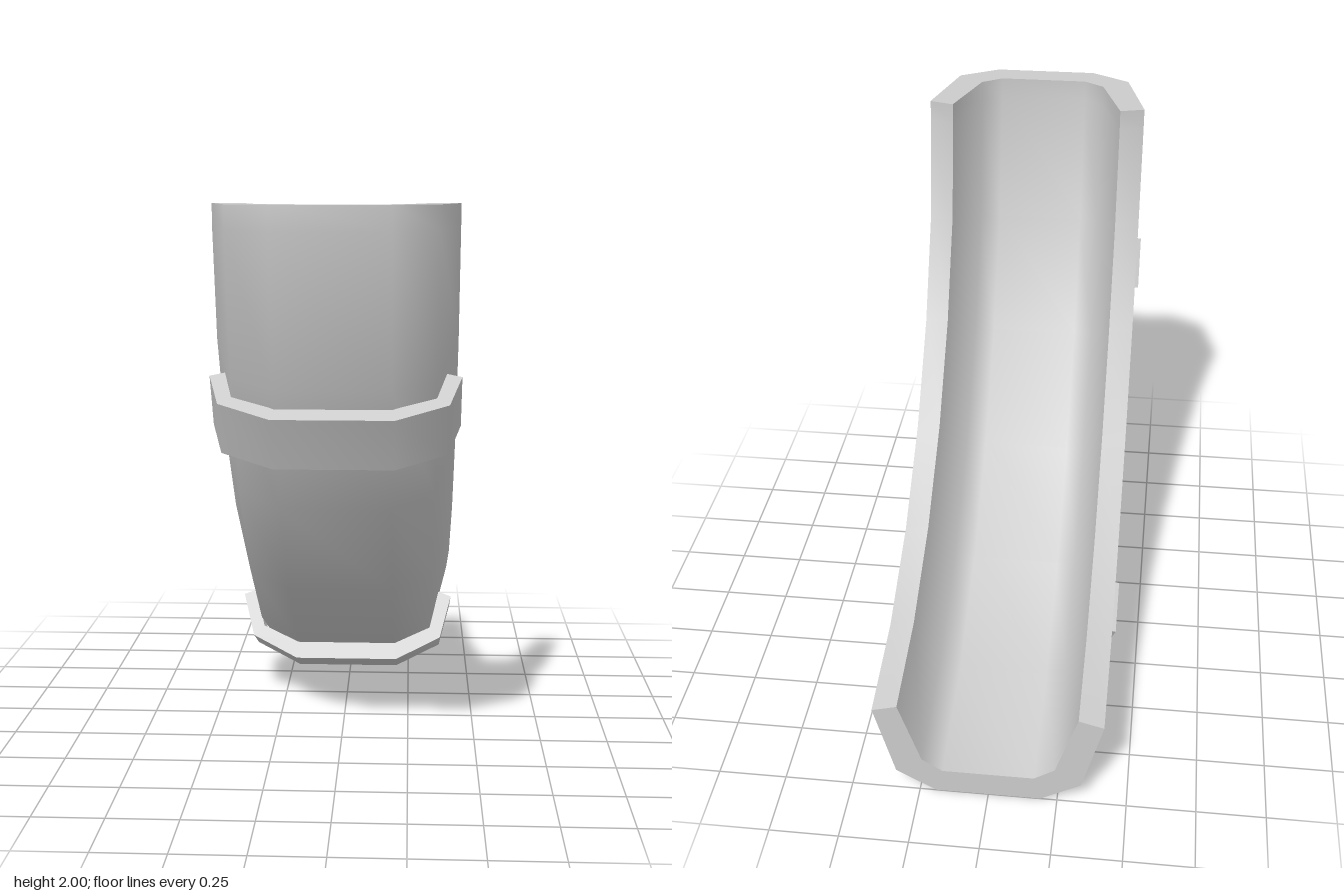
import * as THREE from 'three';
import { toCreasedNormals } from 'three/addons/utils/BufferGeometryUtils.js';

// Stations along the bend: [outer z, outer y, inner z, inner y]
const BEND = [
  [1, 2, 0.6, 2], [1, 1.92, 0.6, 1.925], [0.89, 1.415, 0.52, 1.555],
  [0.665, 0.977, 0.332, 1.2], [0.343, 0.602, 0.064, 0.88],
  [-0.058, 0.291, -0.262, 0.629], [-0.509, 0.082, -0.627, 0.463], [-1, 0, -1, 0.4],
];
const BANDS = {
  upperBand: [[0.912, 1.325, 0.66, 1.443], [0.826, 1.148, 0.574, 1.266]],
  lowerBand: [[-0.144, 0.18, -0.263, 0.43], [-0.32, 0.094, -0.445, 0.34]],
};

// Half U-sections [x, depth], from the middle of the outside, over the rim, to the inside
const CHANNEL = [[0.19, 0], [0.335, 0.085], [0.41, 0.375], [0.32, 0.4], [0.24, 0.15], [0.165, 0.1]];
const BAND = [[0.2, 0], [0.376, 0.09], [0.42, 0.258], [0.37, 0.277], [0.335, 0.13], [0.195, 0.065]];

// Sweeps a mirrored U-section through the stations and caps both ends
function loft(half, stations, depth) {
  const mirrored = half.map(([x, d]) => [-x, d]).reverse();
  const profile = [...half, ...mirrored].map(([x, d]) => new THREE.Vector2(x, d));
  const n = profile.length;
  const positions = [];
  for (const [zo, yo, zi, yi] of stations) {
    for (const p of profile) {
      const t = p.y / depth;
      positions.push(p.x, yo + (yi - yo) * t, zo + (zi - zo) * t);
    }
  }
  const index = [];
  for (let s = 0; s < stations.length - 1; s++) {
    for (let i = 0; i < n; i++) {
      const a = s * n + i, b = s * n + (i + 1) % n;
      index.push(a, a + n, b + n, a, b + n, b);
    }
  }
  const last = (stations.length - 1) * n;
  for (const [a, b, c] of THREE.ShapeUtils.triangulateShape(profile, [])) {
    index.push(a, b, c, last + a, last + c, last + b);
  }
  const geometry = new THREE.BufferGeometry();
  geometry.setAttribute('position', new THREE.Float32BufferAttribute(positions, 3));
  geometry.setIndex(index);
  return toCreasedNormals(geometry.toNonIndexed(), THREE.MathUtils.degToRad(52));
}

export function createModel() {
  const group = new THREE.Group();
  group.name = 'curvedChannel';
  const material = new THREE.MeshStandardMaterial({ color: 0xcccccc });
  const add = (name, geometry) => {
    const mesh = new THREE.Mesh(geometry, material);
    mesh.name = name;
    group.add(mesh);
  };

  // Open trough bending from vertical to horizontal
  add('trough', loft(CHANNEL, BEND, 0.4));

  // Two straps wrapped round the outside
  for (const [name, stations] of Object.entries(BANDS)) {
    add(name, loft(BAND, stations, 0.277));
  }
  return group;
}
